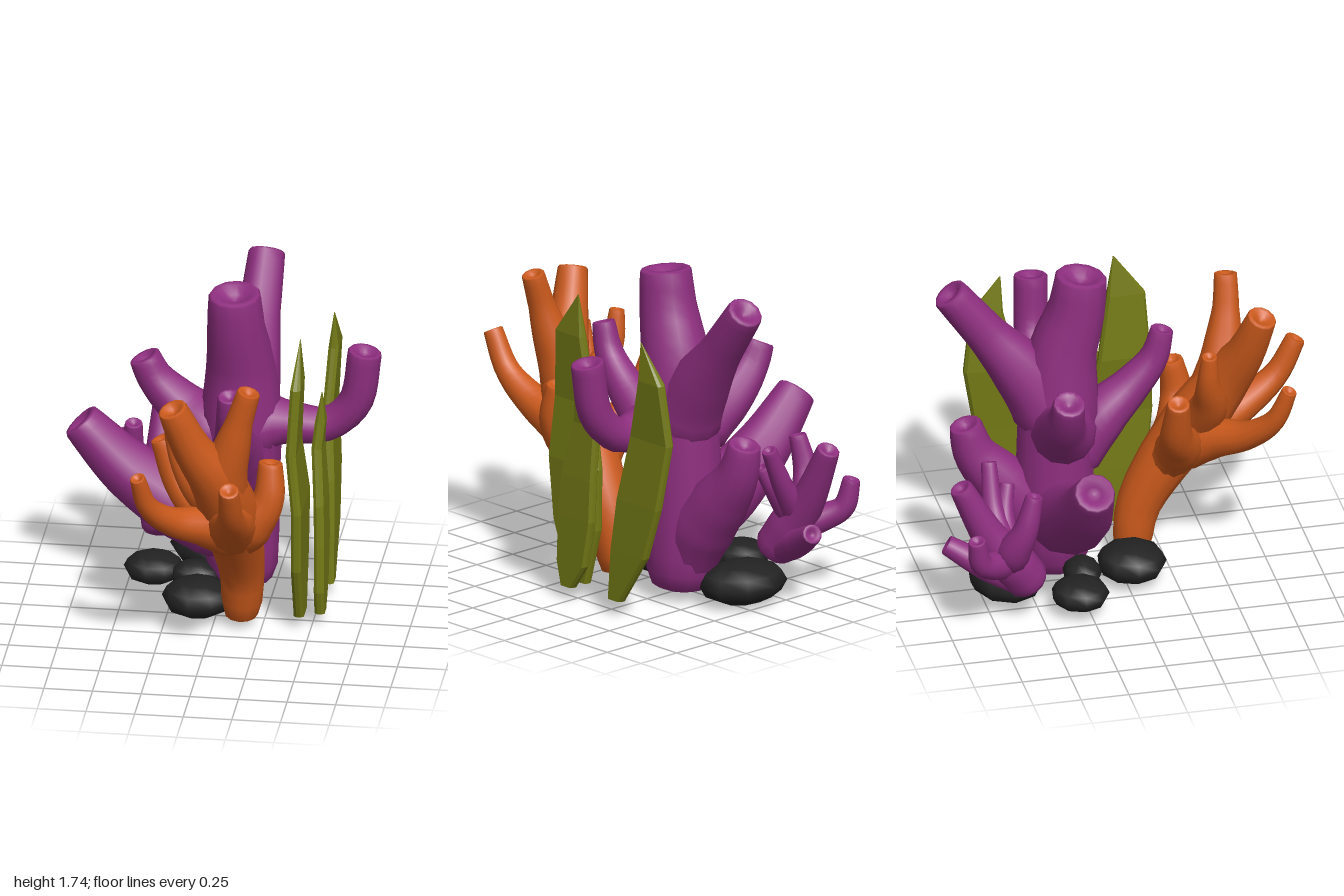
import * as THREE from 'three';

const purple = new THREE.MeshStandardMaterial({ color: 0x8f2f80 });
const orange = new THREE.MeshStandardMaterial({ color: 0xcc5a1c });
const olive = new THREE.MeshStandardMaterial({ color: 0x747a16, flatShading: true });
const black = new THREE.MeshStandardMaterial({ color: 0x222222 });

// Skin a stack of closed rings, each an array of Vector3 running anticlockwise about the path
function loft(rings) {
  const n = rings[0].length, index = [];
  for (let i = 0; i < rings.length - 1; i++) {
    for (let j = 0; j < n; j++) {
      const a = i * n + j, b = i * n + (j + 1) % n;
      index.push(a, b, a + n, b, b + n, a + n);
    }
  }
  const geometry = new THREE.BufferGeometry().setFromPoints(rings.flat());
  geometry.setIndex(index);
  geometry.computeVertexNormals();
  return geometry;
}

// Coral limb: points are [x, y, z, radius]; rounded root, dished open tip
function limb(points, sides = 12, steps = 18) {
  const curve = new THREE.CatmullRomCurve3(points.map(p => new THREE.Vector3(p[0], p[1], p[2])));
  const { tangents, normals, binormals } = curve.computeFrenetFrames(steps);
  const rings = [];
  const ring = (i, shift, r) => {
    const c = curve.getPointAt(i / steps).addScaledVector(tangents[i], shift);
    rings.push(Array.from({ length: sides }, (_, j) => {
      const a = j / sides * Math.PI * 2;
      return c.clone().addScaledVector(normals[i], Math.cos(a) * r).addScaledVector(binormals[i], Math.sin(a) * r);
    }));
  };
  const r0 = points[0][3], r1 = points[points.length - 1][3];
  ring(0, 0, 0);
  ring(0, 0, r0 * 0.6);
  ring(0, r0 * 0.1, r0 * 0.85);
  for (let i = 1; i <= steps; i++) {
    const t = curve.getUtoTmapping(i / steps) * (points.length - 1);
    const k = Math.min(Math.floor(t), points.length - 2);
    const r = THREE.MathUtils.lerp(points[k][3], points[k + 1][3], t - k);
    ring(i, i === steps ? -r1 * 0.1 : 0, r);
  }
  ring(steps, 0, r1 * 0.92);
  ring(steps, 0, r1 * 0.65);
  ring(steps, -r1 * 0.3, r1 * 0.4);
  ring(steps, -r1 * 0.4, 0);
  return loft(rings);
}

function coral(name, material, limbs) {
  const group = new THREE.Group();
  group.name = name;
  for (const [part, points] of Object.entries(limbs)) {
    const mesh = new THREE.Mesh(limb(points), material);
    mesh.name = part;
    group.add(mesh);
  }
  return group;
}

// Flat-faced leaf blade from rows of [y, front z, back z, centre x]
function leaf(rows) {
  const ring = ([y, f, b, x], scale) => {
    const m = (f + b) / 2, h = (f - b) / 2 * scale, t = Math.min(0.026, h * 0.6), e = h - t * 0.5;
    return [[0.4 * t, h], [t, e], [t, -e], [0.4 * t, -h], [-0.4 * t, -h], [-t, -e], [-t, e], [-0.4 * t, h]]
      .map(([dx, dz]) => new THREE.Vector3(x + dx, y, m + dz));
  };
  return loft([ring(rows[0], 0), ...rows.map(r => ring(r, 1))]);
}

export function createModel() {
  const model = new THREE.Group();

  // Large tube coral
  model.add(coral('largeCoral', purple, {
    trunk: [[0.1, 0.05, -0.33, 0.17], [0.08, 0.3, -0.34, 0.2], [0.08, 0.65, -0.33, 0.205], [0.09, 1.0, -0.31, 0.21],
      [0.09, 1.27, -0.29, 0.18], [0.075, 1.52, -0.22, 0.15], [0.07, 1.72, -0.195, 0.135]],
    backBranch: [[0.08, 0.75, -0.3, 0.14], [0.09, 0.98, -0.37, 0.19], [0.11, 1.2, -0.51, 0.155], [0.13, 1.4, -0.67, 0.11],
      [0.145, 1.66, -0.87, 0.094]],
    leftBranch: [[0.08, 0.85, -0.3, 0.14], [0.2, 0.96, -0.3, 0.16], [0.33, 0.965, -0.31, 0.11], [0.52, 0.955, -0.33, 0.09],
      [0.67, 1.09, -0.32, 0.088], [0.725, 1.385, -0.31, 0.088]],
    rightLowBranch: [[0.08, 0.3, -0.32, 0.16], [-0.05, 0.4, -0.31, 0.2], [-0.25, 0.49, -0.31, 0.185], [-0.5, 0.66, -0.31, 0.15],
      [-0.742, 0.907, -0.31, 0.105]],
    rightHighBranch: [[0.08, 0.78, -0.3, 0.14], [-0.07, 0.9, -0.32, 0.17], [-0.22, 1.0, -0.36, 0.125], [-0.36, 1.14, -0.37, 0.093],
      [-0.42, 1.26, -0.37, 0.083]],
    frontBranch: [[0.08, 0.65, -0.25, 0.14], [0.09, 0.87, -0.1, 0.14], [0.1, 1.03, 0.07, 0.1], [0.1, 1.18, 0.19, 0.075],
      [0.1, 1.34, 0.235, 0.06]],
    lowBackBranch: [[0.08, 0.15, -0.36, 0.13], [0.08, 0.4, -0.48, 0.17], [0.08, 0.58, -0.62, 0.15], [0.085, 0.75, -0.75, 0.11],
      [0.085, 0.92, -0.8, 0.085]],
  }));

  // Small branching coral at the back
  model.add(coral('smallCoral', purple, {
    trunk: [[-0.34, 0.19, -0.55, 0.11], [-0.37, 0.35, -0.66, 0.12], [-0.38, 0.52, -0.78, 0.09], [-0.38, 0.82, -0.93, 0.06]],
    lowTwig: [[-0.35, 0.22, -0.6, 0.08], [-0.3, 0.3, -0.78, 0.075], [-0.23, 0.41, -0.97, 0.052]],
    outerTwig: [[-0.37, 0.36, -0.68, 0.09], [-0.48, 0.4, -0.78, 0.075], [-0.55, 0.46, -0.86, 0.06], [-0.58, 0.61, -0.89, 0.045]],
    frontTwig: [[-0.37, 0.35, -0.67, 0.09], [-0.46, 0.46, -0.67, 0.09], [-0.51, 0.6, -0.62, 0.065], [-0.5, 0.79, -0.57, 0.045]],
    innerTwig: [[-0.37, 0.42, -0.7, 0.08], [-0.25, 0.6, -0.73, 0.055], [-0.15, 0.82, -0.73, 0.04]],
    sideTwig: [[-0.35, 0.42, -0.68, 0.07], [-0.24, 0.58, -0.67, 0.05], [-0.18, 0.7, -0.64, 0.038]],
  }));

  // Orange coral leaning forward
  model.add(coral('orangeCoral', orange, {
    trunk: [[0.14, 0.05, 0.08, 0.1], [0.15, 0.3, 0.12, 0.115], [0.14, 0.55, 0.25, 0.14], [0.12, 0.77, 0.4, 0.16],
      [0.07, 1.02, 0.55, 0.135], [-0.04, 1.23, 0.64, 0.1], [-0.13, 1.47, 0.705, 0.077]],
    tallBranch: [[0.11, 0.8, 0.44, 0.13], [0.11, 1.03, 0.53, 0.125], [0.16, 1.22, 0.57, 0.095], [0.2, 1.37, 0.59, 0.07],
      [0.25, 1.54, 0.6, 0.06]],
    leftBranch: [[0.14, 0.55, 0.26, 0.11], [0.22, 0.68, 0.34, 0.125], [0.315, 0.83, 0.36, 0.085], [0.325, 1.03, 0.33, 0.062]],
    rightBranch: [[0.13, 0.55, 0.26, 0.11], [0, 0.7, 0.3, 0.12], [-0.15, 0.85, 0.25, 0.085], [-0.25, 1.09, 0.24, 0.058]],
    rightFrontBranch: [[0.13, 0.6, 0.32, 0.12], [0.03, 0.71, 0.46, 0.115], [-0.14, 0.8, 0.62, 0.075], [-0.25, 0.93, 0.74, 0.055],
      [-0.295, 1.12, 0.81, 0.04]],
    frontBranch: [[0.13, 0.6, 0.3, 0.12], [0.14, 0.73, 0.48, 0.13], [0.17, 0.82, 0.68, 0.09], [0.19, 0.95, 0.85, 0.065],
      [0.195, 1.145, 0.955, 0.052]],
    rightTwig: [[0.1, 0.78, 0.42, 0.12], [-0.04, 0.95, 0.45, 0.095], [-0.14, 1.13, 0.42, 0.06], [-0.17, 1.3, 0.42, 0.04]],
  }));

  // Three upright leaves
  const leaves = {
    tallLeaf: [[0.07, 0.12, -0.02, 0.44], [0.37, 0.23, -0.1, 0.44], [0.7, 0.26, -0.11, 0.445], [1.02, 0.245, -0.03, 0.415],
      [1.38, 0.22, 0.02, 0.435], [1.6, 0.06, 0.055, 0.442]],
    shortLeaf: [[0.07, 0.07, -0.02, 0.54], [0.2, 0.1, -0.11, 0.54], [0.45, 0.09, -0.16, 0.54], [0.67, 0.07, -0.165, 0.535],
      [0.96, 0, -0.17, 0.515], [1.1, -0.02, -0.12, 0.53], [1.27, -0.035, -0.04, 0.54]],
    backLeaf: [[0.08, -0.28, -0.38, 0.54], [0.35, -0.3, -0.56, 0.54], [0.63, -0.34, -0.65, 0.535], [0.98, -0.42, -0.71, 0.515],
      [1.3, -0.5, -0.67, 0.535], [1.5, -0.51, -0.515, 0.54]],
  };
  for (const [name, rows] of Object.entries(leaves)) {
    const mesh = new THREE.Mesh(leaf(rows), olive);
    mesh.name = name;
    model.add(mesh);
  }

  // Flattened rocks round the base
  const rocks = {
    frontRock: [-0.09, 0.115, 0.03, 0.185, 0.1, 0.18],
    backRock: [-0.07, 0.11, -0.62, 0.25, 0.11, 0.2],
    sideRock: [-0.36, 0.115, -0.3, 0.155, 0.08, 0.15],
    middleRock: [-0.14, 0.11, -0.24, 0.13, 0.08, 0.1],
  };
  for (const [name, [x, y, z, rx, ry, rz]] of Object.entries(rocks)) {
    const mesh = new THREE.Mesh(new THREE.SphereGeometry(1, 9, 6), black);
    mesh.name = name;
    mesh.position.set(x, y, z);
    mesh.scale.set(rx, ry, rz);
    model.add(mesh);
  }
  return model;
}
